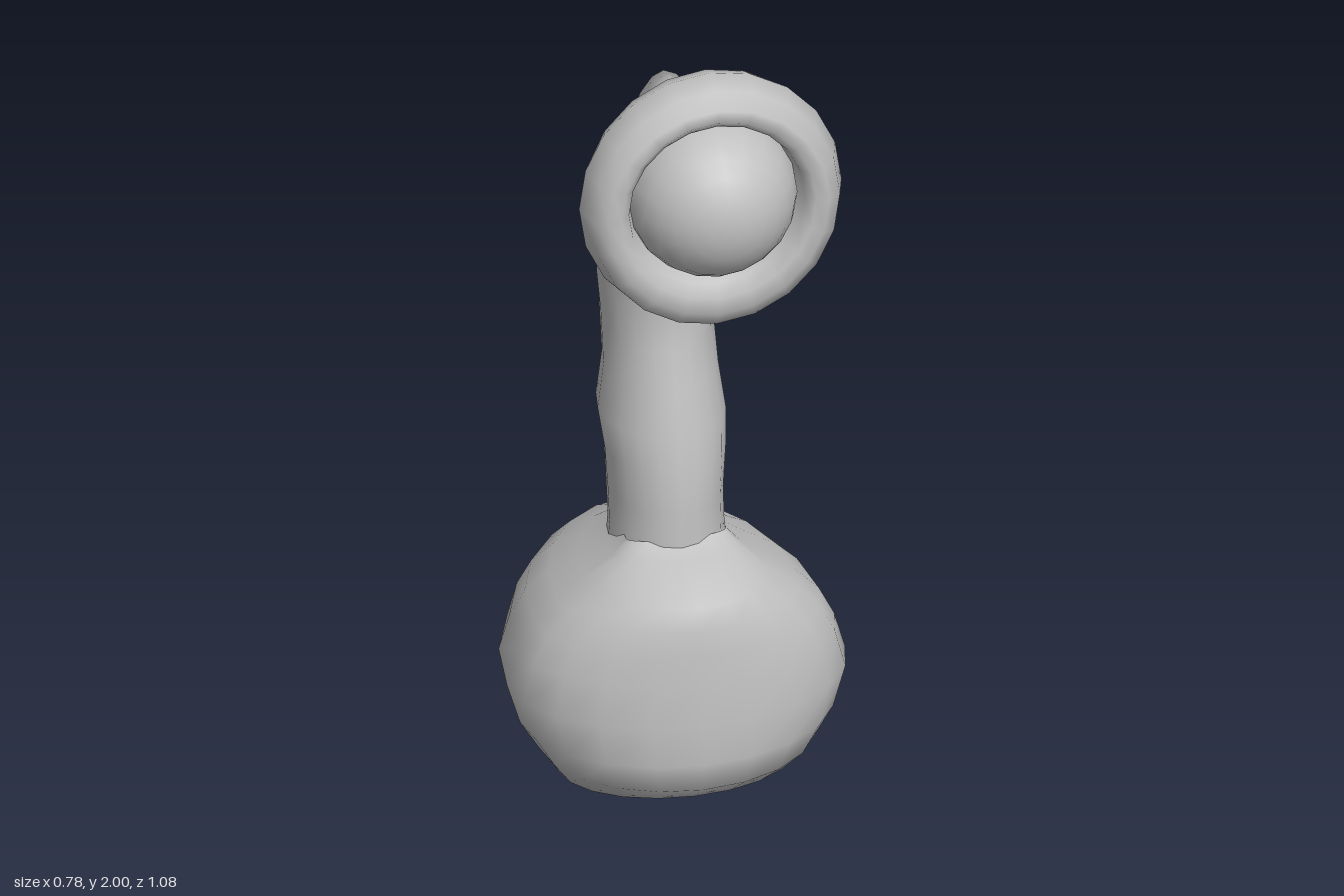
import * as THREE from 'three';

const SEGMENTS = 20;

// Closed skin over oval rings. Each ring: [front z, front y, back z, back y, half width, z share of widest point, back taper]
function loft(rings) {
  const pos = [], index = [];
  for (const [fz, fy, bz, by, w, mid = 0.5, taper = 0] of rings) {
    const cz = bz + (fz - bz) * mid, cy = by + (fy - by) * mid;
    for (let j = 0; j < SEGMENTS; j++) {
      const a = (j / SEGMENTS) * Math.PI * 2, c = Math.cos(a), k = Math.abs(c);
      const z = c > 0 ? fz : bz, y = c > 0 ? fy : by;
      const narrow = c < 0 ? 1 - taper * c * c : 1;
      pos.push(w * Math.sin(a) * narrow, cy + (y - cy) * k, cz + (z - cz) * k);
    }
  }
  for (let r = 0; r < rings.length - 1; r++) {
    for (let j = 0; j < SEGMENTS; j++) {
      const n = (j + 1) % SEGMENTS;
      const a = r * SEGMENTS + j, b = r * SEGMENTS + n;
      const c = b + SEGMENTS, d = a + SEGMENTS;
      index.push(a, b, c, a, c, d);
    }
  }
  const geo = new THREE.BufferGeometry();
  geo.setAttribute('position', new THREE.Float32BufferAttribute(pos, 3));
  geo.setIndex(index);
  geo.computeVertexNormals();
  return geo;
}

export function createModel() {
  const group = new THREE.Group();
  const grey = new THREE.MeshStandardMaterial({ color: 0xc0c0c0 });
  grey.name = 'plain grey';
  const add = (name, geo) => {
    const mesh = new THREE.Mesh(geo, grey);
    mesh.name = name;
    group.add(mesh);
    return mesh;
  };

  // Bulbous base, from the hollow sole up to the collar; widest at z = 0
  const baseRings = [
    [0.001, 0.035, -0.101, 0.035, 0.001],
    [0.1, 0.03, -0.28, 0.03, 0.14],
    [0.19, 0.025, -0.41, 0.0, 0.27],
    [0.275, 0.09, -0.52, 0.07, 0.315],
    [0.285, 0.16, -0.535, 0.15, 0.36],
    [0.282, 0.26, -0.54, 0.25, 0.39],
    [0.272, 0.36, -0.535, 0.32, 0.365],
    [0.263, 0.43, -0.495, 0.39, 0.33],
    [0.255, 0.49, -0.45, 0.44, 0.275],
    [0.235, 0.54, -0.36, 0.49, 0.21],
    [0.09, 0.58, -0.31, 0.53, 0.145],
    [0.04, 0.61, -0.27, 0.56, 0.115],
  ];
  add('base', loft(baseRings.map((r) => [...r, r[2] / (r[2] - r[0])])));

  // Curved neck with a knobbly spine, flaring into the round head and its hollow face
  const neckRings = [
    [0.07, 0.5, -0.29, 0.48, 0.14],
    [0.06, 0.6, -0.3, 0.57, 0.13],
    [0.057, 0.68, -0.33, 0.66, 0.13],
    [0.045, 0.78, -0.315, 0.77, 0.137],
    [0.025, 0.86, -0.375, 0.86, 0.145],
    [0, 0.97, -0.36, 0.97, 0.13],
    [-0.03, 1.06, -0.41, 1.11, 0.127],
    [-0.045, 1.16, -0.36, 1.24, 0.14],
    [-0.035, 1.23, -0.365, 1.36, 0.14],
    [-0.01, 1.285, -0.29, 1.46, 0.135],
    [0.02, 1.33, -0.265, 1.58, 0.13],
    [0.06, 1.36, -0.16, 1.66, 0.125],
    [0.1, 1.385, -0.125, 1.74, 0.125],
    [0.14, 1.4, -0.06, 1.757, 0.13],
  ].map((r) => [...r, 0.55, 0.3]);
  const headRings = [
    [0.17, 1.4, 0.05, 1.795, 0.145],
    [0.21, 1.393, 0.13, 1.855, 0.18],
    [0.26, 1.383, 0.21, 1.92, 0.235],
    [0.32, 1.372, 0.29, 1.98, 0.288],
    [0.345, 1.37, 0.34, 2.0, 0.303],
    [0.41, 1.385, 0.4, 1.985, 0.285],
    [0.43, 1.42, 0.43, 1.95, 0.255],
    [0.43, 1.46, 0.43, 1.92, 0.225],
    [0.41, 1.49, 0.41, 1.9, 0.203],
    [0.35, 1.51, 0.35, 1.885, 0.187],
  ];
  add('neckAndHead', loft([...neckRings, ...headRings]));

  // Domed eye set in the face, pole forward
  const dome = new THREE.SphereGeometry(0.195, 20, 8, 0, Math.PI * 2, 0, Math.PI * 0.56);
  const eye = add('eyeDome', dome);
  eye.rotation.x = Math.PI / 2;
  eye.position.set(0, 1.697, 0.347);

  return group;
}
